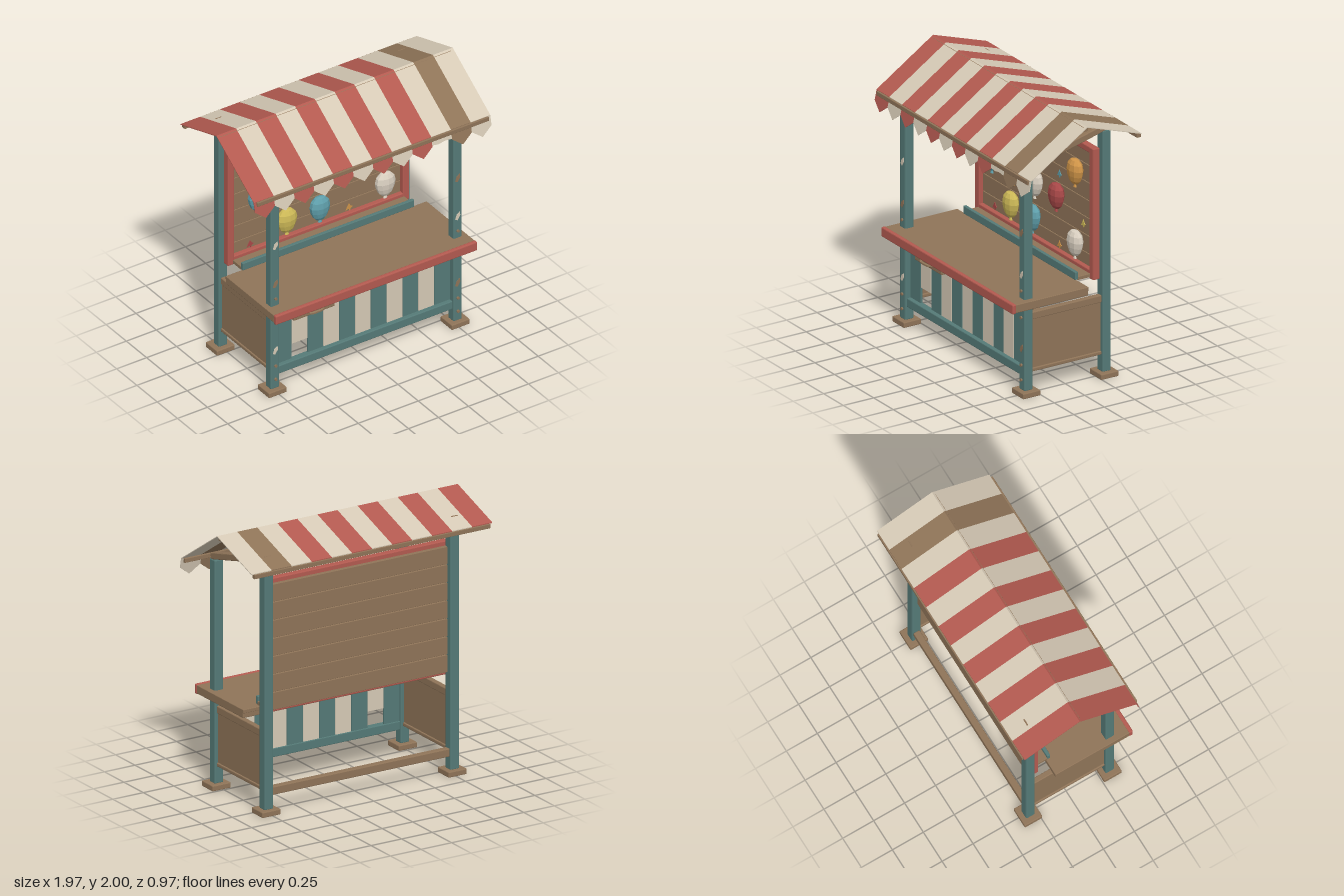
import * as THREE from 'three';
import { RoundedBoxGeometry } from 'three/addons/geometries/RoundedBoxGeometry.js';

function mat(name, color) {
  const m = new THREE.MeshStandardMaterial({ color });
  m.name = name;
  return m;
}

export function createModel() {
  const root = new THREE.Group();
  root.name = 'balloonStall';
  const red = mat('faded red', 0xb35a50);
  const cream = mat('canvas cream', 0xd6cab6);
  const wood = mat('worn wood', 0x8f7458);
  const teal = mat('teal paint', 0x557a77);
  const blue = mat('balloon blue', 0x5f9fab);
  const yellow = mat('balloon yellow', 0xcdb957);
  const orange = mat('balloon orange', 0xcf9448);
  const crimson = mat('balloon red', 0xa84848);
  const white = mat('balloon white', 0xd8cebf);

  const flat = (g) => {
    const f = g.index ? g.toNonIndexed() : g;
    f.computeVertexNormals();
    return f;
  };
  const add = (name, geo, material, x = 0, y = 0, z = 0) => {
    const m = new THREE.Mesh(geo, material);
    m.name = name;
    m.position.set(x, y, z);
    root.add(m);
    return m;
  };
  // Chamfered beam given by its ranges on each axis
  const beam = (name, material, [x0, x1], [y0, y1], [z0, z1], bevel = 0.006) => {
    const w = x1 - x0, h = y1 - y0, d = z1 - z0;
    const r = Math.min(bevel, w / 4, h / 4, d / 4);
    return add(name, flat(new RoundedBoxGeometry(w, h, d, 1, r)), material,
      (x0 + x1) / 2, (y0 + y1) / 2, (z0 + z1) / 2);
  };
  // Thin plate cut to an outline
  const plate = (pts, depth) => new THREE.ExtrudeGeometry(
    new THREE.Shape(pts.map(([x, y]) => new THREE.Vector2(x, y))), { depth, bevelEnabled: false });

  // Posts, feet, rafters and side panels, mirrored
  for (const s of [-1, 1]) {
    const span = (a, b) => (s > 0 ? [a, b] : [-b, -a]);
    for (const [end, z, top] of [['front', 0.328, 1.685], ['back', -0.313, 1.85]]) {
      beam(end + 'Post', teal, span(0.725, 0.797), [0.04, top], [z - 0.035, z + 0.035], 0.009);
      beam(end + 'Foot', wood, span(0.687, 0.837), [0.005, 0.046], [z - 0.071, z + 0.071]);
    }
    const from = new THREE.Vector2(0.353, 1.7), to = new THREE.Vector2(-0.344, 1.881);
    const run = to.clone().sub(from);
    const rafter = beam('rafter', wood, [-0.03, 0.03], [-0.024, 0.024],
      [-run.length() / 2, run.length() / 2]);
    rafter.position.set(s * 0.765, (from.y + to.y) / 2, (from.x + to.x) / 2);
    rafter.rotation.x = Math.atan2(run.y, -run.x);

    beam('sidePanel', wood, span(0.752, 0.772), [0.19, 0.57], [-0.28, 0.295], 0.003);
    beam('sideTopRail', wood, span(0.742, 0.782), [0.56, 0.615], [-0.28, 0.295]);
    beam('sideBottomRail', wood, span(0.742, 0.782), [0.17, 0.197], [-0.28, 0.295]);

    // Bolts on the front posts
    for (const y of [0.12, 0.23, 0.585, 0.785, 1.58]) {
      const bolt = add('bolt', flat(new THREE.CylinderGeometry(0.011, 0.011, 0.014, 8)), wood, s * 0.76, y, 0.368);
      bolt.rotation.x = Math.PI / 2;
    }
    // Chipped paint
    const chip = plate([[-0.022, -0.02], [-0.004, -0.032], [0.02, 0.005], [0.016, 0.034], [-0.01, 0.014]], 0.004);
    [[0.355, -1], [0.905, 1], [1.22, -1]].forEach(([y, k]) => {
      add('paintChip', chip, s === k ? cream : wood, s * 0.76, y, 0.362);
    });
  }

  // Counter with rims below and a painted lip
  beam('counterTop', wood, [-0.838, 0.838], [0.698, 0.727], [-0.137, 0.462], 0.004);
  beam('counterBackRim', wood, [-0.836, 0.836], [0.664, 0.722], [-0.136, -0.1]);
  beam('counterFrontRim', wood, [-0.836, 0.836], [0.664, 0.722], [0.42, 0.46]);
  for (const s of [-1, 1]) {
    beam('counterSideRim', wood, [s * 0.82 - 0.018, s * 0.82 + 0.018], [0.664, 0.722], [-0.135, 0.46]);
  }
  beam('counterLip', red, [-0.84, 0.84], [0.66, 0.731], [0.457, 0.488], 0.008);

  // Slatted front, one slat broken short
  for (let i = -5; i <= 5; i++) {
    const bottom = i === -4 ? 0.325 : 0.19;
    beam('frontSlat', i % 2 === 0 ? cream : teal, [i * 0.132 - 0.064, i * 0.132 + 0.064],
      [bottom, 0.637], [0.305, 0.321], 0.002);
  }
  beam('frontTopRail', red, [-0.726, 0.726], [0.61, 0.638], [0.318, 0.342]);
  beam('frontBottomRail', teal, [-0.726, 0.726], [0.142, 0.208], [0.3, 0.352]);
  beam('backBottomRail', wood, [-0.726, 0.726], [0.14, 0.2], [-0.338, -0.29]);

  // Drawer and its bar handle
  beam('drawer', wood, [-0.607, -0.264], [0.541, 0.613], [0.319, 0.364]);
  const grip = new THREE.CatmullRomCurve3([[-0.5, 0.36], [-0.485, 0.392], [-0.435, 0.398], [-0.385, 0.392], [-0.37, 0.36]]
    .map(([x, z]) => new THREE.Vector3(x, 0.577, z)));
  add('drawerHandle', flat(new THREE.TubeGeometry(grip, 10, 0.011, 6)), wood);

  // Target wall: planks between the back posts, painted frame in front
  for (let i = 0; i < 7; i++) {
    const y = 0.815 + i * 0.1325;
    beam('wallPlank', wood, [-0.735, 0.735], [y - 0.0642, y + 0.0642], [-0.306, -0.262], 0.003);
  }
  for (const s of [-1, 1]) {
    beam('wallFrameSide', red, [s * 0.73 - 0.027, s * 0.73 + 0.027], [0.727, 1.708], [-0.28, -0.226]);
  }
  beam('wallFrameTop', red, [-0.722, 0.722], [1.662, 1.708], [-0.279, -0.228]);
  beam('wallFrameBottom', red, [-0.722, 0.722], [0.727, 0.79], [-0.279, -0.228]);
  beam('prizeShelf', wood, [-0.715, 0.715], [0.737, 0.764], [-0.23, -0.125], 0.003);
  beam('shelfLip', teal, [-0.715, 0.715], [0.742, 0.8], [-0.13, -0.105], 0.004);

  // Balloons, flattened towards the wall
  const profile = [[0, -0.214], [0.017, -0.211], [0.008, -0.19], [0.032, -0.184], [0.056, -0.16], [0.073, -0.122],
    [0.081, -0.08], [0.071, -0.037], [0.042, -0.008], [0, 0]].map(([r, y]) => new THREE.Vector2(r, y));
  const balloonGeo = flat(new THREE.LatheGeometry(profile, 10));
  const balloons = [
    [-0.55, 1.57, white], [0, 1.57, yellow], [0.545, 1.57, orange],
    [-0.515, 1.303, blue], [-0.245, 1.303, orange], [0.03, 1.303, white], [0.305, 1.303, crimson],
    [-0.275, 1.035, yellow], [0, 1.035, blue], [0.545, 1.035, white],
  ];
  for (const [x, y, m] of balloons) add('balloon', balloonGeo, m, x, y, -0.213).scale.z = 0.6;

  // Shreds of burst balloons
  const shred = plate([[0, 0.03], [0.012, 0.008], [0.028, -0.002], [0.014, -0.01],
    [0.004, -0.03], [-0.006, -0.012], [-0.028, -0.02], [-0.014, 0.004]], 0.006);
  for (const [x, y, m] of [[-0.275, 1.35, crimson], [0.275, 1.35, blue], [0.58, 1.085, yellow],
    [0.275, 0.82, orange], [-0.55, 0.82, crimson]]) add('balloonShred', shred, m, x, y, -0.263);

  // Striped cloth canopy and pointed valance, with one patched and one torn stripe
  const section = [[1.851, -0.475], [1.997, -0.032], [1.694, 0.432]];
  const w = 1.97 / 12;
  for (let i = 0; i < 12; i++) {
    const x = -0.985 + (i + 0.5) * w;
    const m = i === 10 ? wood : i % 2 ? cream : red;
    const strip = new THREE.BoxGeometry(w, 0.006, 2, 1, 1, 2);
    const p = strip.attributes.position;
    for (let k = 0; k < p.count; k++) {
      const [y, z] = section[1 + Math.round(p.getZ(k))];
      p.setY(k, y + p.getY(k));
      p.setZ(k, z);
    }
    add('canopyStripe', flat(strip), m, x);

    const h = w / 2;
    const low = i === 9
      ? [[-h, 1.632], [-h / 3, 1.625], [h / 4, 1.634], [h, 1.628]]
      : [[-h, 1.622], [0, 1.56], [h, 1.622]];
    const flap = plate([[-h, 1.692], ...low, [h, 1.692]], 0.006);
    const q = flap.attributes.position;
    for (let k = 0; k < q.count; k++) q.setZ(k, q.getZ(k) + 0.426 + (1.692 - q.getY(k)) * 0.22);
    add('valanceFlap', flat(flap), m, x);
  }

  // Canopy poles under the cloth
  for (const [name, y, z] of [['ridgePole', 1.975, -0.032], ['frontEavePole', 1.678, 0.429], ['backEavePole', 1.832, -0.468]]) {
    beam(name, wood, [-0.965, 0.965], [y - 0.016, y + 0.016], [z - 0.017, z + 0.017], 0.003);
  }
  return root;
}
